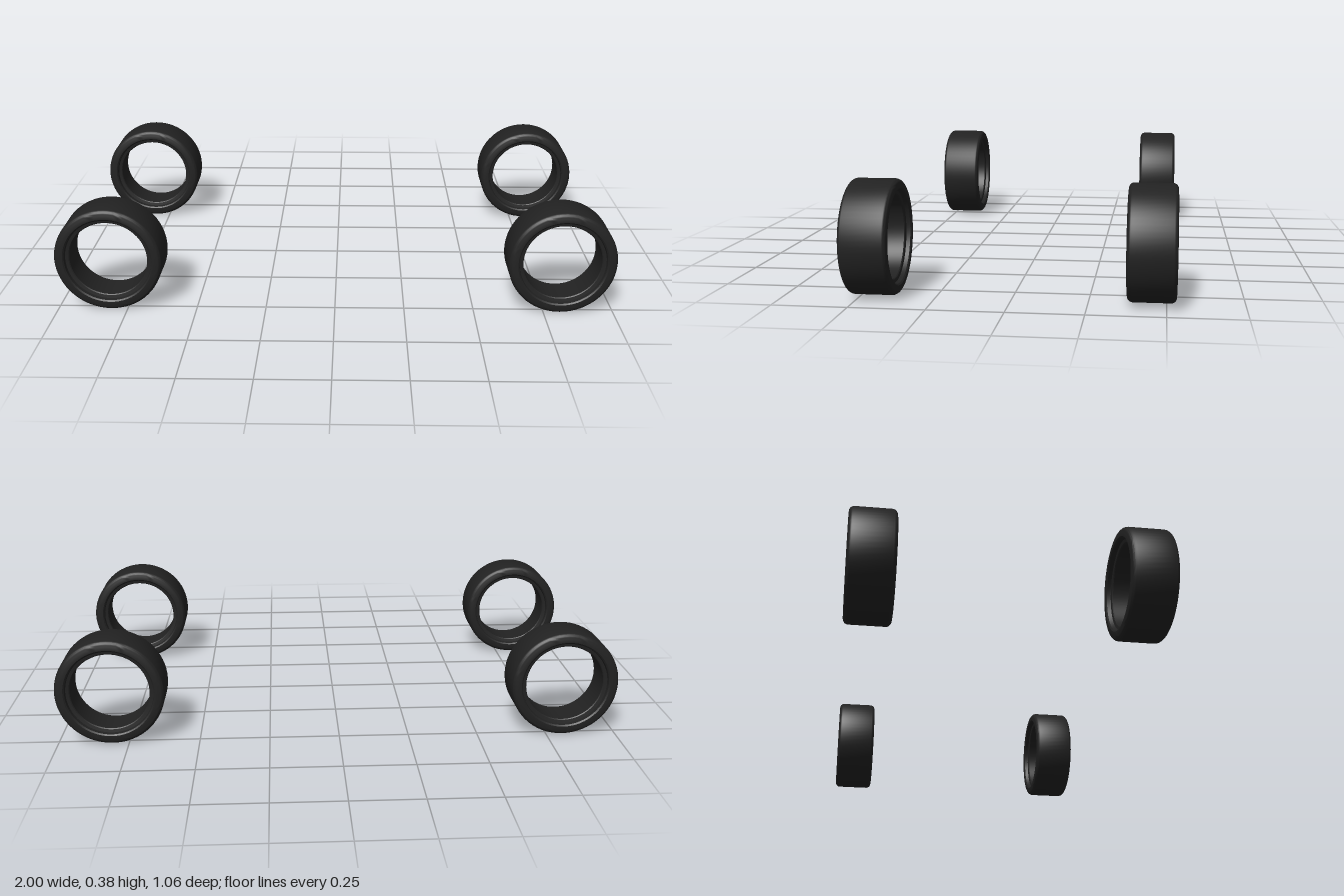
import * as THREE from 'three';
import { toCreasedNormals } from 'three/addons/utils/BufferGeometryUtils.js';

const R = 0.192;      // tread radius
const HALF = 0.079;   // half the tyre width
const ROUND = 0.018;  // shoulder rounding

// One half of the tyre section, from the tread shoulder in to the bore
function halfProfile() {
  const pts = [];
  for (let i = 0; i <= 5; i++) {
    const a = (i / 5) * Math.PI / 2;
    pts.push([R - ROUND + ROUND * Math.cos(a), HALF - ROUND + ROUND * Math.sin(a)]);
  }
  // sidewall, chamfered bead seat and inner lip
  pts.push([0.160, HALF], [0.155, HALF - 0.004], [0.153, 0.062], [0.142, 0.060], [0.139, 0.057]);
  return pts;
}

function tyreGeometry() {
  const half = halfProfile();
  const mirrored = half.map(([r, y]) => [r, -y]).reverse();
  const loop = [...mirrored, ...half, mirrored[0]].map(([r, y]) => new THREE.Vector2(r, y));
  const geo = new THREE.LatheGeometry(loop, 64);
  geo.rotateX(Math.PI / 2); // axle along z
  return toCreasedNormals(geo, 0.6);
}

export function createModel() {
  const model = new THREE.Group();
  model.name = 'tyreSet';
  const rubber = new THREE.MeshStandardMaterial({ color: 0x222222 });
  rubber.name = 'black rubber';
  const geo = tyreGeometry();

  // four matching tyres at the corners
  for (const x of [-1, 1]) {
    for (const z of [-1, 1]) {
      const tyre = new THREE.Mesh(geo, rubber);
      tyre.name = (z > 0 ? 'front' : 'back') + (x > 0 ? 'Left' : 'Right') + 'Tyre';
      tyre.position.set(x * (1 - R), R, z * 0.453);
      model.add(tyre);
    }
  }
  return model;
}
